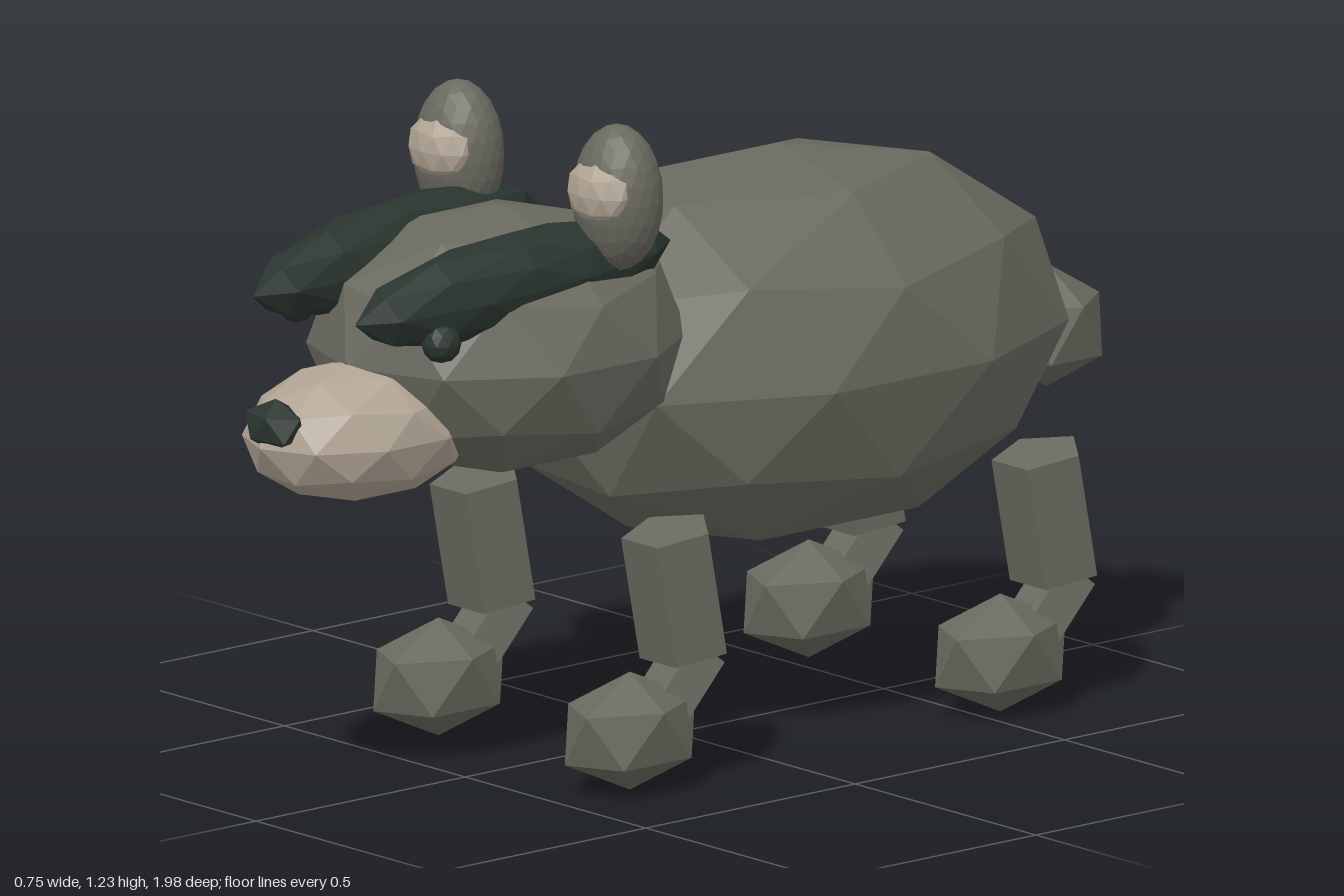
import * as THREE from 'three';

const mat = (name, color) => {
  const m = new THREE.MeshStandardMaterial({ color, flatShading: true });
  m.name = name;
  return m;
};

// Icosphere with its poles on the y axis
function icosphere(detail) {
  const v = [0, 1, 0];
  const ring = (y, offset) => {
    for (let i = 0; i < 5; i++) {
      const a = offset + (i * Math.PI * 2) / 5;
      v.push(0.8944 * Math.cos(a), y, 0.8944 * Math.sin(a));
    }
  };
  ring(0.4472, 0);
  ring(-0.4472, Math.PI / 5);
  v.push(0, -1, 0);
  const f = [];
  for (let i = 0; i < 5; i++) {
    const u = 1 + i, un = 1 + ((i + 1) % 5), l = 6 + i, ln = 6 + ((i + 1) % 5);
    f.push(0, un, u, u, un, l, un, ln, l, 11, l, ln);
  }
  return new THREE.PolyhedronGeometry(v, f, 1, detail);
}

export function createModel() {
  const fur = mat('greyFur', 0x6a695f);
  const pale = mat('paleFur', 0xb0a494);
  const dark = mat('darkFur', 0x2a352f);
  const model = new THREE.Group();
  model.name = 'animal';

  const add = (name, geometry, material, pos, parent = model) => {
    const mesh = new THREE.Mesh(geometry, material);
    mesh.name = name;
    mesh.position.set(...pos);
    parent.add(mesh);
    return mesh;
  };
  const blob = (name, material, pos, radii, detail = 1, parent = model) =>
    add(name, icosphere(detail).scale(...radii), material, pos, parent);

  // Trunk, head and tail
  blob('body', fur, [0, 0.693, -0.25], [0.394, 0.367, 0.61]);
  blob('head', fur, [0, 0.81, 0.42], [0.325, 0.247, 0.365]);
  blob('muzzle', pale, [0, 0.692, 0.755], [0.174, 0.128, 0.235]);
  blob('nose', dark, [0, 0.73, 0.953], [0.075, 0.05, 0.05], 0);
  blob('tail', fur, [0, 0.615, -0.89], [0.115, 0.115, 0.115], 0);

  for (const [side, s] of [['left', 1], ['right', -1]]) {
    // Ears
    blob(side + 'Ear', fur, [s * 0.22, 1.095, 0.325], [0.09, 0.136, 0.077], 3);
    blob(side + 'InnerEar', pale, [s * 0.22, 1.11, 0.365], [0.078, 0.066, 0.05]);

    // Long dark patch over each eye, tilted down and inward at the front
    const patch = blob(side + 'EyePatch', dark, [s * 0.163, 0.957, 0.527], [0.083, 0.095, 0.36]);
    patch.rotation.set(0.07, -s * 0.06, 0);
    blob(side + 'Eye', dark, [s * 0.2, 0.885, 0.73], [0.037, 0.037, 0.037]);

    // Legs: five-sided thigh and shin with a faceted foot
    for (const [end, z] of [['Front', 0], ['Back', -0.885]]) {
      const leg = new THREE.Group();
      leg.name = side + end + 'Leg';
      leg.position.set(s * 0.265, 0, z);
      model.add(leg);
      const limb = (name, r, len, y, lz, tilt) => {
        const g = new THREE.CylinderGeometry(r, r, len, 5).rotateY(Math.PI);
        add(name, g, fur, [0, y, lz], leg).rotation.x = tilt;
      };
      limb('upperLeg', 0.086, 0.235, 0.353, 0.222, 0.19);
      limb('lowerLeg', 0.059, 0.14, 0.18, 0.218, -0.75);
      blob('foot', fur, [0, 0.11, 0.335], [0.107, 0.11, 0.153], 0, leg);
    }
  }
  return model;
}
